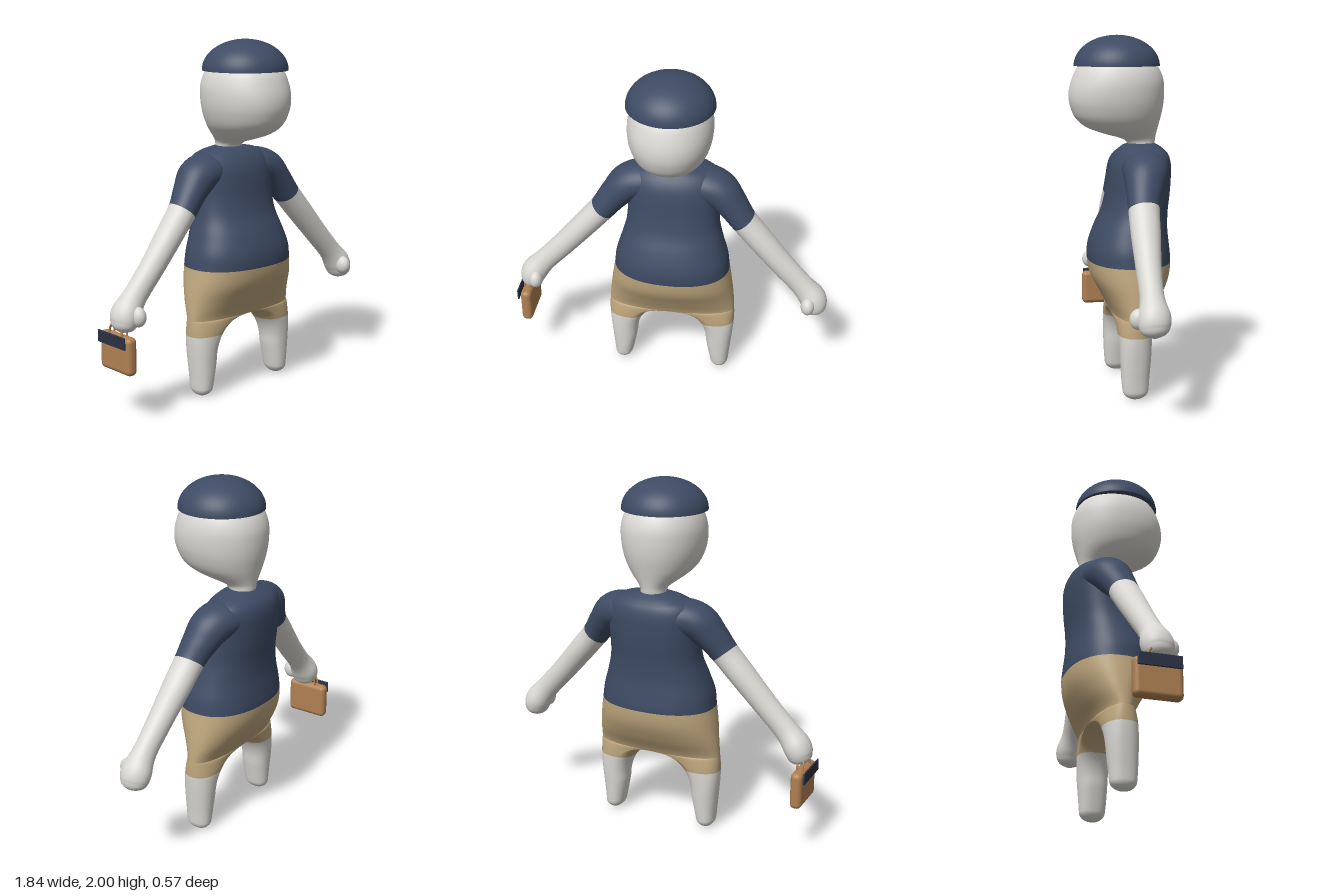
import * as THREE from 'three';
import { mergeVertices } from 'three/addons/utils/BufferGeometryUtils.js';
import { RoundedBoxGeometry } from 'three/addons/geometries/RoundedBoxGeometry.js';

const mat = (name, color) => {
  const m = new THREE.MeshStandardMaterial({ color });
  m.name = name;
  return m;
};

// Smooth curve through rows of [key, ...values]
function smoothRows(rows) {
  const size = rows[0].length - 1;
  const f = new THREE.CubicInterpolant(rows.map(r => r[0]), rows.flatMap(r => r.slice(1)), size, new Float32Array(size));
  return t => Array.from(f.evaluate(t));
}

const spow = (v, p) => Math.sign(v) * Math.pow(Math.abs(v), p);
const mirrorRings = rings => rings.map(r => r.map(([x, y, z]) => [-x, y, z]).reverse());

// Skins sets of closed rings; bandOf(ring index) picks the material slot
function skin(sets, bandOf = () => 0) {
  const bands = [];
  for (const rings of sets) {
    for (let j = 0; j < rings.length - 1; j++) {
      const out = (bands[bandOf(j)] ??= []);
      const n = rings[j].length;
      for (let i = 0; i < n; i++) {
        const k = (i + 1) % n;
        const a = rings[j][i], b = rings[j][k], c = rings[j + 1][k], d = rings[j + 1][i];
        // faces lying on the centre plane are inside the body
        if ([a, b, c, d].every(p => Math.abs(p[0]) < 1e-6)) continue;
        out.push(...a, ...b, ...c, ...a, ...c, ...d);
      }
    }
  }
  const g = new THREE.BufferGeometry();
  g.setAttribute('position', new THREE.Float32BufferAttribute(bands.flat(), 3));
  let start = 0;
  bands.forEach((b, i) => { g.addGroup(start, b.length / 3, i); start += b.length / 3; });
  const welded = mergeVertices(g, 1e-5);
  welded.computeVertexNormals();
  return welded;
}

// Torso, shorts and legs: half sections that split into two legs under the crotch
function bodyGeometry() {
  const section = smoothRows([ // y, half width, front z, back z
    [0, 0.345, 0.03, -0.105], [0.1, 0.352, 0.04, -0.113], [0.2, 0.362, 0.045, -0.122],
    [0.36, 0.375, 0.052, -0.135], [0.45, 0.373, 0.062, -0.15], [0.55, 0.364, 0.11, -0.215],
    [0.65, 0.35, 0.163, -0.265], [0.74, 0.335, 0.18, -0.28], [0.82, 0.325, 0.177, -0.274],
    [0.92, 0.295, 0.145, -0.264], [1.02, 0.268, 0.1, -0.266], [1.12, 0.262, 0.075, -0.277],
    [1.22, 0.265, 0.06, -0.283], [1.3, 0.262, 0.04, -0.28], [1.35, 0.235, 0.01, -0.262],
    [1.38, 0.175, -0.02, -0.23], [1.392, 0.12, -0.035, -0.212], [1.4, 0.065, -0.05, -0.195],
  ]);
  const ys = [];
  const span = (n, f) => { for (let i = 0; i < n; i++) ys.push(f(i / n)); };
  span(8, t => 0.05 * (1 - Math.cos(t * Math.PI / 2)));
  span(12, t => 0.05 + 0.31 * t);
  const hem = ys.length;
  span(10, t => 0.45 - 0.09 * (1 - t) ** 2);
  span(12, t => 0.45 + 0.29 * t);
  const waist = ys.length;
  span(36, t => 0.74 + 0.66 * t);
  ys.push(1.4);

  const rings = ys.map(y => {
    const [xo, zf, zb] = section(y);
    const v = THREE.MathUtils.clamp((0.45 - y) / 0.25, 0, 1);
    const arch = Math.sqrt(1 - (1 - v) ** 2);
    const xi = 0.21 * arch + 0.2 * Math.max(0, 0.2 - y);
    const xc = xi + arch * (xo - xi) / 2;
    const foot = y < 0.05 ? Math.sqrt(Math.max(0, 1 - (1 - y / 0.05) ** 2)) : 1;
    const zc = (zf + zb) / 2, rz = foot * (zf - zb) / 2;
    const ring = [];
    for (let i = 0; i < 64; i++) {
      const a = i / 64 * Math.PI * 2;
      const c = spow(Math.sin(a), 0.88), s = spow(Math.cos(a), 0.88);
      const x = i === 0 || i === 32 ? xc : xc + foot * (c > 0 ? xo - xc : xc - xi) * c;
      ring.push([x, y, zc + rz * s]);
    }
    return ring;
  });
  return skin([rings, mirrorRings(rings)], j => (j < hem ? 0 : j < waist ? 1 : 2));
}

// Head and neck: stacked oval sections
function headGeometry() {
  const rows = [ // y, half width, front z, back z
    [1.36, 0.07, -0.05, -0.19], [1.4, 0.07, -0.045, -0.2], [1.425, 0.076, -0.015, -0.203],
    [1.45, 0.105, 0.075, -0.208], [1.48, 0.143, 0.165, -0.215], [1.52, 0.18, 0.228, -0.225],
    [1.6, 0.216, 0.274, -0.243], [1.68, 0.23, 0.284, -0.25], [1.76, 0.226, 0.265, -0.244],
    [1.83, 0.2, 0.23, -0.212], [1.9, 0.14, 0.15, -0.14], [1.95, 0.02, 0.03, -0.01],
  ];
  const f = smoothRows(rows);
  const rings = [];
  for (let j = 0; j <= 48; j++) {
    const y = 1.36 + 0.59 * j / 48;
    const [w, zf, zb] = f(y);
    rings.push(Array.from({ length: 48 }, (_, i) => {
      const a = i / 48 * Math.PI * 2;
      return [w * spow(Math.sin(a), 0.95), y, (zf + zb) / 2 + (zf - zb) / 2 * spow(Math.cos(a), 0.95)];
    }));
  }
  return skin([rings]);
}

// Arm: rings along a bent path, sleeve ending at row 4
function armGeometry(side) {
  const f = smoothRows([ // x, y, z, radius in the front plane, radius in z
    [0.05, 1.27, -0.115, 0.08, 0.1], [0.16, 1.275, -0.115, 0.1, 0.13], [0.26, 1.245, -0.1, 0.105, 0.122],
    [0.335, 1.17, -0.08, 0.088, 0.102], [0.405, 1.08, -0.06, 0.076, 0.085], [0.5, 0.97, -0.05, 0.073, 0.08],
    [0.64, 0.81, -0.037, 0.068, 0.068], [0.76, 0.68, -0.03, 0.067, 0.064], [0.825, 0.6, -0.028, 0.077, 0.085],
    [0.847, 0.545, -0.026, 0.069, 0.08], [0.858, 0.513, -0.025, 0.048, 0.056], [0.863, 0.495, -0.025, 0.004, 0.004],
  ].map((r, i) => [i, ...r]));
  const steps = 6, last = 11;
  const rings = [];
  for (let j = 0; j <= last * steps; j++) {
    const t = j / steps;
    const [x, y, z, rn, rz] = f(t);
    const p = f(Math.max(0, t - 0.05)), q = f(Math.min(last, t + 0.05));
    const dir = new THREE.Vector2(q[0] - p[0], q[1] - p[1]).normalize();
    rings.push(Array.from({ length: 32 }, (_, i) => {
      const a = i / 32 * Math.PI * 2, n = rn * Math.cos(a);
      return [x - dir.y * n, y + dir.x * n, z + rz * Math.sin(a)];
    }));
  }
  return skin([side > 0 ? rings : mirrorRings(rings)], j => (j < 4 * steps ? 0 : 1));
}

export function createModel() {
  const skinMat = mat('pale skin', 0xdad8d3);
  const shirt = mat('navy cloth', 0x3e4b64);
  const shorts = mat('tan cloth', 0xbfa77d);
  const leather = mat('brown leather', 0xb08052);
  const dark = mat('dark navy', 0x2a3145);

  const model = new THREE.Group();
  model.name = 'figure';
  const add = (name, geo, material, x = 0, y = 0, z = 0, parent = model) => {
    const m = new THREE.Mesh(geo, material);
    m.name = name;
    m.position.set(x, y, z);
    parent.add(m);
    return m;
  };

  add('body', bodyGeometry(), [skinMat, shorts, shirt]);
  add('head', headGeometry(), skinMat);

  // Cap: flattened dome with a flat underside
  const cap = new THREE.Group();
  cap.name = 'cap';
  cap.position.set(0, 1.83, 0.015);
  model.add(cap);
  add('capDome', new THREE.SphereGeometry(0.24, 48, 16, 0, Math.PI * 2, 0, Math.PI / 2), shirt, 0, 0, 0, cap).scale.y = 0.17 / 0.24;
  add('capUnderside', new THREE.CircleGeometry(0.24, 48).rotateX(Math.PI / 2), shirt, 0, 0, 0, cap);

  // Arms and thumbs
  for (const [side, label] of [[1, 'left'], [-1, 'right']]) {
    add(label + 'Arm', armGeometry(side), [shirt, skinMat]);
    const thumb = add(label + 'Thumb', new THREE.SphereGeometry(1, 24, 16), skinMat, side * 0.805, 0.585, 0.045);
    thumb.scale.set(0.04, 0.055, 0.05);
  }

  // Handbag hanging from the right hand
  const bag = new THREE.Group();
  bag.name = 'handbag';
  bag.position.set(-0.872, 0.385, -0.042);
  model.add(bag);
  add('bagBody', new RoundedBoxGeometry(0.065, 0.21, 0.255, 5, 0.028), leather, 0, 0, 0, bag);
  for (const x of [-0.016, 0.016]) {
    const handle = add('bagHandle', new THREE.TorusGeometry(0.055, 0.006, 8, 24, Math.PI), leather, x, 0.1, 0, bag);
    handle.rotation.y = Math.PI / 2;
    handle.scale.y = 1.2;
  }
  add('bagPlate', new RoundedBoxGeometry(0.009, 0.068, 0.23, 3, 0.004), dark, -0.046, 0.08, 0, bag);
  return model;
}
